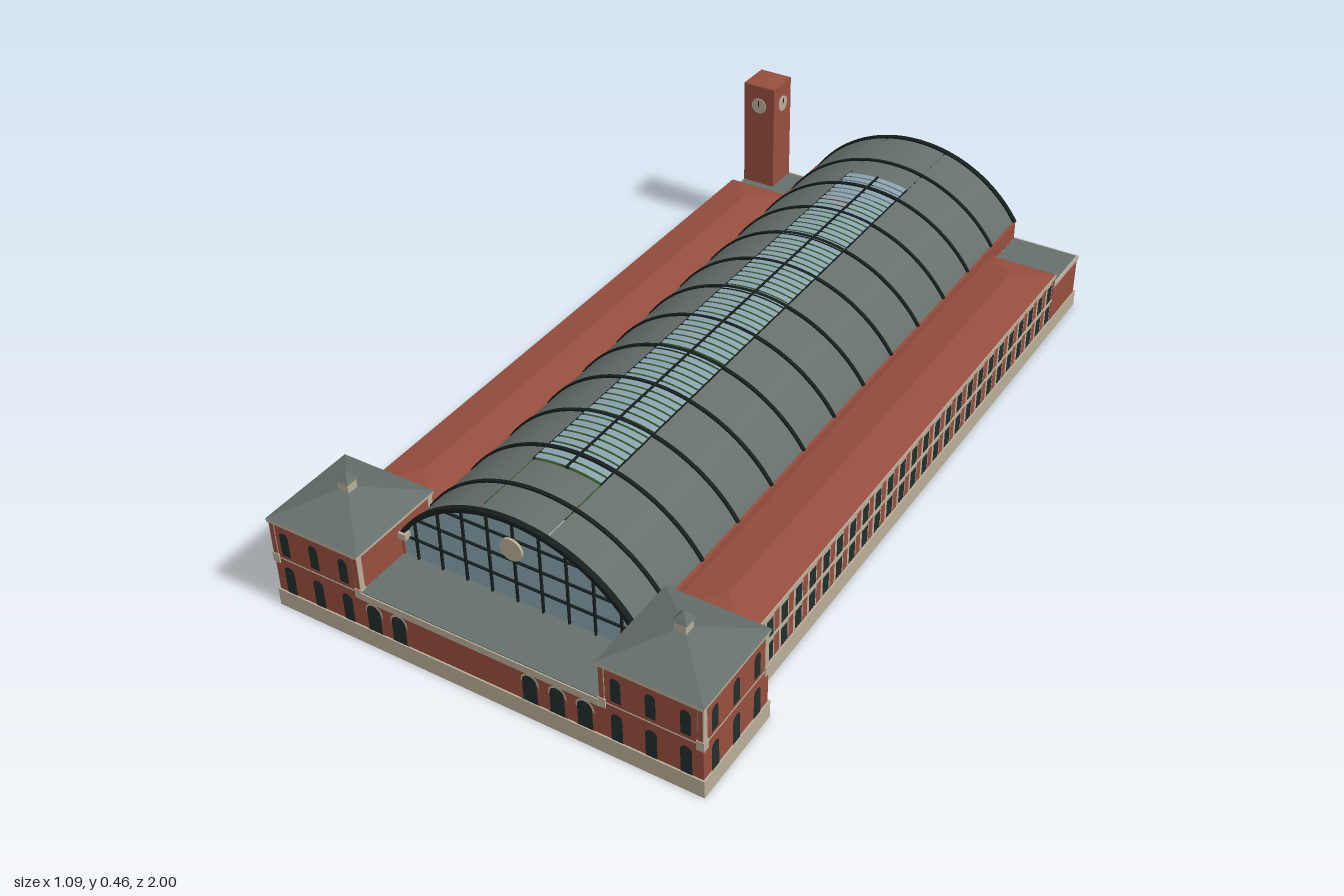
import * as THREE from 'three';

const mat = (name, color, side = THREE.DoubleSide) => {
  const m = new THREE.MeshStandardMaterial({ color, side });
  m.name = name;
  return m;
};

export function createModel() {
  const root = new THREE.Group();
  root.name = 'trainHall';
  const brick = mat('brick', 0x964e3e), stone = mat('stone', 0xb8ad98), slate = mat('slate', 0x656f6b),
    iron = mat('iron', 0x161e1e), pane = mat('window', 0x222e2d), glass = mat('glass', 0x8aa3ae),
    leaf = mat('foliage', 0x2f5226), bark = mat('bark', 0x3f2a22);

  const put = (name, geo, m, x = 0, y = 0, z = 0, ry = 0) => {
    const o = new THREE.Mesh(geo, m);
    o.name = name;
    o.position.set(x, y, z);
    o.rotation.y = ry;
    root.add(o);
    return o;
  };
  // box given by its limits
  const box = (name, m, x0, x1, y0, y1, z0, z1) =>
    put(name, new THREE.BoxGeometry(Math.abs(x1 - x0), y1 - y0, z1 - z0), m, (x0 + x1) / 2, (y0 + y1) / 2, (z0 + z1) / 2);
  // upright wall loop following a plan outline [x, z], with an inner outline as hole
  const loop = (name, m, outer, inner, y0, y1) => {
    const v = ([x, z]) => new THREE.Vector2(x, -z);
    const s = new THREE.Shape(outer.map(v));
    s.holes.push(new THREE.Path(inner.map(v)));
    const g = new THREE.ExtrudeGeometry(s, { depth: y1 - y0, bevelEnabled: false });
    return put(name, g.rotateX(-Math.PI / 2), m, 0, y0, 0);
  };
  const rect = (x0, x1, z0, z1) => [[x0, z0], [x1, z0], [x1, z1], [x0, z1]];
  const ring = (name, m, x0, x1, z0, z1, y0, y1, t = 0.008) =>
    loop(name, m, rect(x0, x1, z0, z1), rect(x0 + t, x1 - t, z0 + t, z1 - t), y0, y1);
  // hipped roof with its ridge along z, inset at both ends
  const hip = (name, m, x0, x1, z0, z1, y0, y1, inset) => {
    const c = (x0 + x1) / 2;
    const g = new THREE.BufferGeometry();
    g.setAttribute('position', new THREE.Float32BufferAttribute([
      x0, y0, z0, x1, y0, z0, x1, y0, z1, x0, y0, z1, c, y1, z0 + inset, c, y1, z1 - inset], 3));
    g.setIndex([0, 4, 1, 1, 4, 5, 1, 5, 2, 2, 5, 3, 3, 5, 4, 3, 4, 0]);
    const f = g.toNonIndexed();
    f.computeVertexNormals();
    return put(name, f, m);
  };
  const archGeo = (w, h) => {
    const s = new THREE.Shape();
    s.moveTo(-w / 2, 0);
    s.lineTo(w / 2, 0);
    s.lineTo(w / 2, h - w / 2);
    s.absarc(0, h - w / 2, w / 2, 0, Math.PI);
    return new THREE.ShapeGeometry(s, 8);
  };

  // plinth and lower walls round the whole plan
  const plan = (t, back) => [[-0.542 + t, 1 - t], [0.542 - t, 1 - t], [0.542 - t, 0.745 + t], [0.488 - t, 0.745 + t],
    [0.488 - t, back], [-0.488 + t, back], [-0.488 + t, 0.745 + t], [-0.542 + t, 0.745 + t]];
  loop('plinth', stone, plan(0, -1), plan(0.012, -0.988), 0, 0.045);
  loop('lowerWalls', brick, plan(0.004, -0.99), plan(0.012, -0.982), 0.045, 0.125);

  // vault: arc of radius R about (0, CY)
  const R = 0.355, CY = 0.01, END = 1.0, SKY = 0.245, Z0 = -1, Z1 = 0.858;
  const strip = (name, m, a0, a1, z0, z1, r = R) => {
    const g = new THREE.CylinderGeometry(r, r, z1 - z0, Math.ceil((a1 - a0) * 20), 1, true, a0, a1 - a0);
    return put(name, g.rotateX(-Math.PI / 2), m, 0, CY, (z0 + z1) / 2);
  };
  const rib = (name, z, depth, r0, r1) => {
    const s = new THREE.Shape();
    s.absarc(0, 0, r1, Math.PI / 2 - END, Math.PI / 2 + END);
    s.absarc(0, 0, r0, Math.PI / 2 + END, Math.PI / 2 - END, true);
    put(name, new THREE.ExtrudeGeometry(s, { depth, bevelEnabled: false, curveSegments: 32 }), iron, 0, CY, z - depth / 2);
  };
  strip('vaultLeft', slate, SKY + 0.002, END, Z0, Z1);
  strip('vaultRight', slate, -END, -SKY - 0.002, Z0, Z1);
  strip('vaultCrownBack', slate, -SKY + 0.006, SKY - 0.006, Z0, -0.76);
  strip('vaultCrownFront', slate, -SKY + 0.006, SKY - 0.006, 0.66, Z1);
  for (let i = 1; i < 13; i++) rib('vaultRib', -0.99 + i * 0.1452, 0.009, 0.351, 0.3595);
  rib('backRim', -0.993, 0.014, 0.349, 0.3595);
  rib('frontRim', 0.855, 0.014, 0.349, 0.3595);

  // louvred skylight along the crown
  for (let i = 0; i < 63; i++) {
    const z = -0.757 + i * 0.0225;
    strip('skylightSlat', glass, -SKY, SKY, z, z + 0.017, R + 0.003);
  }
  box('skylightRidge', iron, -0.003, 0.003, 0.362, 0.37, -0.76, 0.66);
  for (const s of [-1, 1]) box('skylightEdge', iron, s * 0.085, s * 0.087, 0.352, 0.358, -0.76, 0.66);

  // glazed end walls with mullions and transoms
  const endWall = (label, z, out, y0, bars) => {
    const a = Math.asin(0.296 / 0.353), zb = z + out * 0.003;
    const s = new THREE.Shape();
    s.moveTo(-0.296, y0);
    s.lineTo(0.296, y0);
    s.absarc(0, CY, 0.353, Math.PI / 2 - a, Math.PI / 2 + a);
    put(label + 'Glass', new THREE.ShapeGeometry(s, 32), glass, 0, 0, z);
    for (let i = -4; i <= 4; i++) {
      const x = i * 0.065;
      box(label + 'Mullion', iron, x - 0.002, x + 0.002, y0, CY + Math.sqrt(0.352 ** 2 - x * x), zb - 0.003, zb + 0.003);
    }
    for (const y of bars) {
      const w = Math.min(0.296, Math.sqrt(0.352 ** 2 - (y - CY) ** 2));
      box(label + 'Transom', iron, -w, w, y - 0.0015, y + 0.0015, zb - 0.003, zb + 0.003);
    }
  };
  endWall('front', 0.85, 1, 0.142, [0.198, 0.255, 0.312]);
  endWall('back', -0.993, -1, 0.045, [0.13, 0.22, 0.3]);

  // clock face: flat disc with a hand
  const clock = (x, y, z, r, ry) => {
    const g = new THREE.CylinderGeometry(r, r, 0.006, 24).rotateX(Math.PI / 2);
    put('clockFace', g, stone, x, y, z, ry);
    const hand = new THREE.BoxGeometry(r * 0.12, r * 0.7, 0.008).translate(0, r * 0.33, 0);
    if (r < 0.025) put('clockHand', hand, iron, x, y, z, ry);
  };
  clock(0, 0.292, 0.86, 0.028, 0);

  // low entrance range between the front pavilions
  box('entranceCornice', stone, -0.3, 0.3, 0.125, 0.143, 0.986, 1);
  box('entranceRoof', slate, -0.3, 0.3, 0.139, 0.145, 0.845, 0.997);
  const doorGeo = archGeo(0.036, 0.072), doorTrim = archGeo(0.045, 0.078), doorCheek = archGeo(0.046, 0.064);
  for (const x of [-0.27, -0.204, 0.13, 0.197, 0.264]) {
    put('doorTrim', doorTrim, stone, x, 0.045, 0.9968);
    put('doorCheek', doorCheek, brick, x, 0.045, 0.9974);
    put('door', doorGeo, pane, x, 0.047, 0.9985);
  }

  const lowWin = archGeo(0.027, 0.074), highWin = archGeo(0.024, 0.064);
  const sideWin = new THREE.PlaneGeometry(0.028, 0.049), sideTrim = new THREE.PlaneGeometry(0.04, 0.056);
  for (const s of [-1, 1]) {
    const span = (a, b) => (s > 0 ? [a, b] : [-b, -a]);
    const ry = s * Math.PI / 2;

    // front corner pavilion
    const [p0, p1] = span(0.3, 0.538);
    ring('pavilionWalls', brick, p0, p1, 0.749, 0.996, 0.045, 0.236);
    ring('pavilionBelt', stone, p0 - 0.001, p1 + 0.001, 0.748, 0.997, 0.138, 0.141);
    ring('pavilionCornice', stone, p0 - 0.004, p1 + 0.004, 0.745, 1, 0.234, 0.242, 0.012);
    hip('pavilionRoof', slate, p0 - 0.005, p1 + 0.005, 0.744, 1, 0.242, 0.292, 0.128);
    for (const x of [p0 + 0.006, p1 - 0.006]) for (const z of [0.755, 0.99]) {
      box('cornerBlock', stone, x - 0.009, x + 0.009, 0.125, 0.149, z - 0.009, z + 0.009);
      box('cornerStrip', stone, x - 0.007, x + 0.007, 0.149, 0.234, z - 0.007, z + 0.007);
      box('cornerBrick', brick, x - 0.0055, x + 0.0055, 0.15, 0.233, z - 0.0078, z + 0.0078);
    }
    box('cupola', stone, s * 0.419 - 0.014, s * 0.419 + 0.014, 0.28, 0.311, 0.858, 0.886);
    hip('cupolaRoof', slate, s * 0.419 - 0.018, s * 0.419 + 0.018, 0.854, 0.89, 0.311, 0.333, 0.018);
    for (const d of [-0.08, 0, 0.08]) {
      put('pavilionLowerWindow', lowWin, pane, s * 0.42 + d, 0.047, 0.9985);
      put('pavilionUpperWindow', highWin, pane, s * 0.42 + d, 0.153, 0.9985);
      put('pavilionLowerWindow', lowWin, pane, s * 0.5405, 0.047, 0.876 + d, ry);
      put('pavilionUpperWindow', highWin, pane, s * 0.5405, 0.153, 0.876 + d, ry);
    }

    // long side wing
    box('wingWall', brick, s * 0.476, s * 0.484, 0.12, 0.182, -0.83, 0.75);
    box('wingBelt', stone, s * 0.478, s * 0.4865, 0.106, 0.111, -0.83, 0.745);
    box('wingCornice', stone, s * 0.472, s * 0.488, 0.174, 0.183, -0.836, 0.747);
    const [w0, w1] = span(0.302, 0.486);
    box('wingEnd', brick, w0, w1, 0.12, 0.182, -0.836, -0.828);
    hip('wingRoof', brick, w0, w1, -0.836, 0.75, 0.184, 0.203, 0.09);
    for (let i = 0; i < 26; i++) {
      const z = 0.712 - i * 0.0605;
      for (const y of [0.077, 0.141]) {
        put('wingWindowTrim', sideTrim, stone, s * 0.4855, y, z, ry);
        put('wingWindow', sideWin, pane, s * 0.4868, y, z, ry);
      }
    }
    // wall carrying the vault, down to the ground
    box('vaultWall', brick, s * 0.296, s * 0.304, 0, 0.206, -0.988, 0.855);

    // flat-roofed rear block
    const [b0, b1] = span(0.302, 0.485);
    ring('rearBlockWalls', brick, b0, b1, -0.992, -0.83, 0.045, 0.15);
    ring('rearBlockCoping', stone, b0 - 0.002, b1 + 0.003, -0.996, -0.83, 0.147, 0.157);
    box('rearBlockRoof', slate, b0 + 0.003, b1 - 0.003, 0.15, 0.158, -0.99, -0.83);

    // stone block at the foot of the front arch
    box('archBlock', stone, s * 0.278, s * 0.298, 0.197, 0.213, 0.845, 0.868);
  }
  for (const x of [-0.45, -0.41, -0.35])
    put('rearWindow', new THREE.PlaneGeometry(0.034, 0.026), pane, x, 0.105, -0.9935, Math.PI);

  // clock tower
  const tx = -0.438, tz = -0.943;
  box('towerShaft', brick, tx - 0.0465, tx + 0.0465, 0.15, 0.459, tz - 0.0465, tz + 0.0465);
  hip('towerRoof', brick, tx - 0.048, tx + 0.048, tz - 0.048, tz + 0.048, 0.458, 0.463, 0.048);
  for (let i = 0; i < 4; i++) {
    const a = i * Math.PI / 2;
    clock(tx + Math.sin(a) * 0.0465, 0.4, tz + Math.cos(a) * 0.0465, 0.022, a);
  }

  // indoor trees whose wide crowns merge into one canopy
  let seed = 7;
  const rnd = () => (seed = (seed * 16807) % 2147483647) / 2147483647;
  const crown = new THREE.IcosahedronGeometry(0.1, 1);
  const trunk = new THREE.CylinderGeometry(0.002, 0.004, 0.17, 6);
  for (let i = 0; i < 12; i++) for (let j = -1; j <= 1; j++) {
    const x = j * 0.145 + (rnd() - 0.5) * 0.03, z = -0.72 + i * 0.116 + (rnd() - 0.5) * 0.05;
    const y = 0.225 - Math.abs(j) * 0.035 + rnd() * 0.02;
    put('treeCrown', crown, leaf, x, y, z, rnd() * 6).scale.set(1.3, 0.5, 1.3);
    if ((i + j) % 2) put('treeTrunk', trunk, bark, x, y - 0.095, z);
  }
  return root;
}
